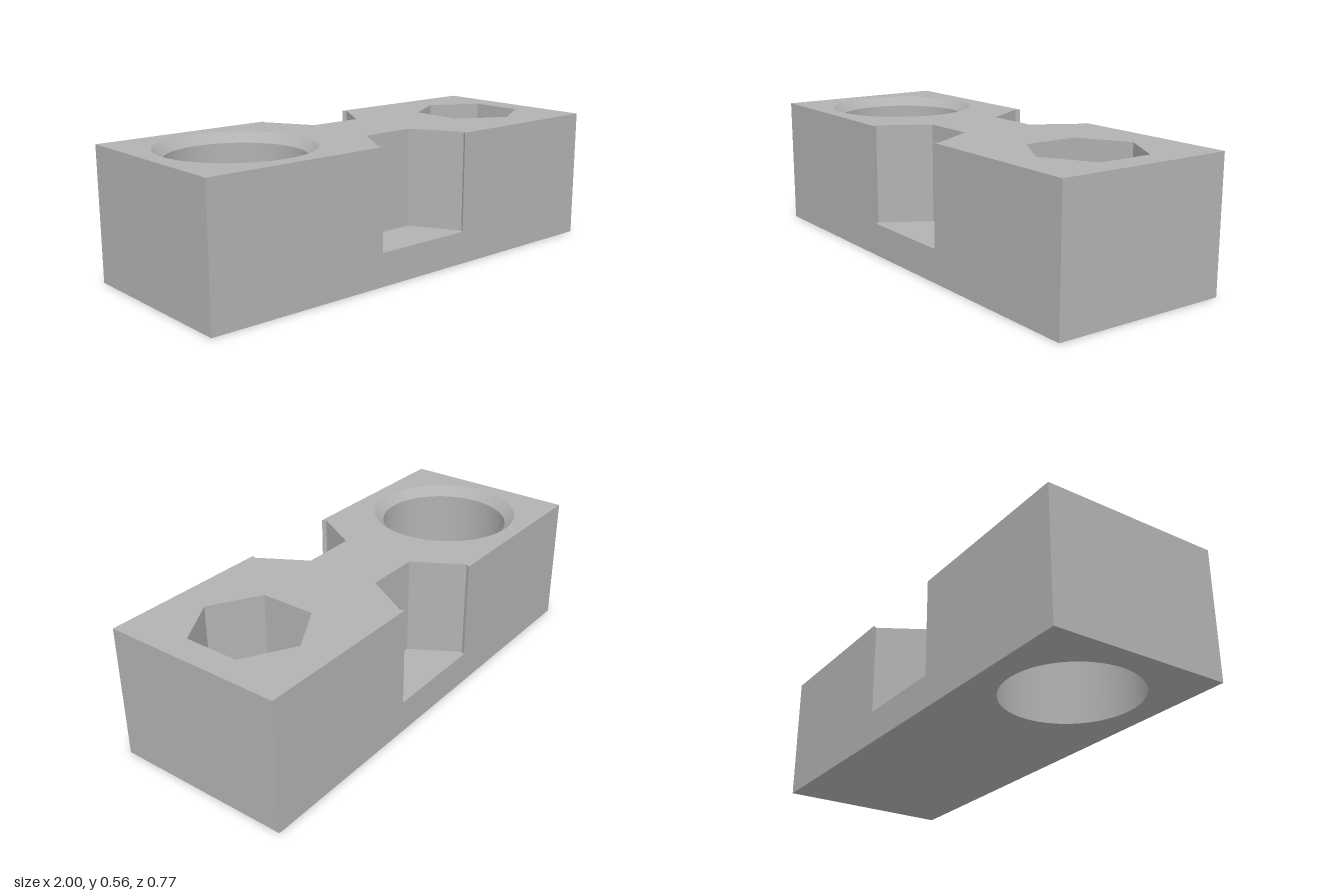
import * as THREE from 'three';
import { mergeGeometries } from 'three/addons/utils/BufferGeometryUtils.js';

const H = 0.56, D = 0.385, FLOOR = 0.14; // block height, half depth, pocket floor
const HEX = 0.237, MID = 0.022;          // hexagon radius, notch centre in x
const BORE_X = -0.615, BORE_R = 0.277, RIM_R = 0.317, SEGS = 64;

const ring = (cx, cz, r, n, offset = 0) => Array.from({ length: n }, (_, i) => {
  const a = offset + (i / n) * Math.PI * 2;
  return [cx + r * Math.cos(a), cz + r * Math.sin(a)];
});
const toPoints = (list) => list.map(([a, b]) => new THREE.Vector2(a, b));

// Flat polygon in its own plane, with optional holes
function polygon(outline, holes = []) {
  const shape = new THREE.Shape(toPoints(outline));
  holes.forEach((h) => shape.holes.push(new THREE.Path(toPoints(h))));
  return new THREE.ShapeGeometry(shape);
}
// Horizontal polygon from [x, z] points, facing up or down
function level(y, outline, holes = [], up = true) {
  const flip = (l) => l.map(([x, z]) => [x, up ? -z : z]);
  return polygon(flip(outline), holes.map(flip))
    .rotateX(up ? -Math.PI / 2 : Math.PI / 2).translate(0, y, 0);
}
// Upright flat walls along a path of [x, z] points
function walls(path, y0, y1) {
  const pos = [];
  for (let i = 0; i < path.length - 1; i++) {
    const [ax, az] = path[i], [bx, bz] = path[i + 1];
    pos.push(ax, y0, az, bx, y0, bz, bx, y1, bz, ax, y0, az, bx, y1, bz, ax, y1, az);
  }
  const g = new THREE.BufferGeometry();
  g.setAttribute('position', new THREE.Float32BufferAttribute(pos, 3));
  g.computeVertexNormals();
  return g;
}

export function createModel() {
  const group = new THREE.Group();
  const grey = new THREE.MeshStandardMaterial({ color: 0xb2b2b2 });
  const add = (name, geometry) => {
    const mesh = new THREE.Mesh(geometry, grey);
    mesh.name = name;
    group.add(mesh);
  };

  // Plan outlines
  const frontNotch = [
    [MID - 0.227, D], [MID - HEX, 0.368], [MID - HEX / 2, 0.165],
    [MID + HEX / 2, 0.165], [MID + HEX, 0.368], [MID + 0.227, D],
  ];
  const backNotch = frontNotch.map(([x, z]) => [2 * MID - x, -z]);
  const hexagon = ring(0.683, 0, HEX, 6, Math.PI / 6);
  const corners = [[-1, -D], [1, -D], [1, D], [-1, D]];
  const topOutline = [
    [-1, D], ...frontNotch, [1, D], [1, -D], ...backNotch, [-1, -D],
  ];

  // Outer faces of the block
  const l = MID - 0.227, r = MID + 0.227;
  const side = [[-1, 0], [1, 0], [1, H], [r, H], [r, FLOOR], [l, FLOOR], [l, H], [-1, H]];
  const backSide = side.map(([x, y]) => [-x, y]);
  add('blockTop', level(H, topOutline, [hexagon, ring(BORE_X, 0, RIM_R, SEGS)]));
  add('blockBottom', level(0, corners, [ring(BORE_X, 0, BORE_R, SEGS)], false));
  add('blockFront', polygon(side).translate(0, 0, D));
  add('blockBack', polygon(backSide).rotateY(Math.PI).translate(0, 0, -D));
  add('blockEnds', mergeGeometries([
    walls([[1, D], [1, -D]], 0, H),
    walls([[-1, -D], [-1, D]], 0, H),
  ]));

  // Side notches
  [['frontNotch', frontNotch], ['backNotch', backNotch]].forEach(([name, path]) => {
    add(name + 'Walls', walls(path, FLOOR, H));
    add(name + 'Floor', level(FLOOR, path));
  });

  // Hexagonal pocket
  add('hexPocketWalls', walls([...hexagon, hexagon[0]], FLOOR, H));
  add('hexPocketFloor', level(FLOOR, hexagon));

  // Round through hole with a chamfered rim
  const lathe = (pts) => new THREE.LatheGeometry(toPoints(pts), SEGS).translate(BORE_X, 0, 0);
  const rimY = H - (RIM_R - BORE_R);
  add('boreWall', lathe([[BORE_R, rimY], [BORE_R, 0]]));
  add('boreChamfer', lathe([[RIM_R, H], [BORE_R, rimY]]));

  return group;
}
